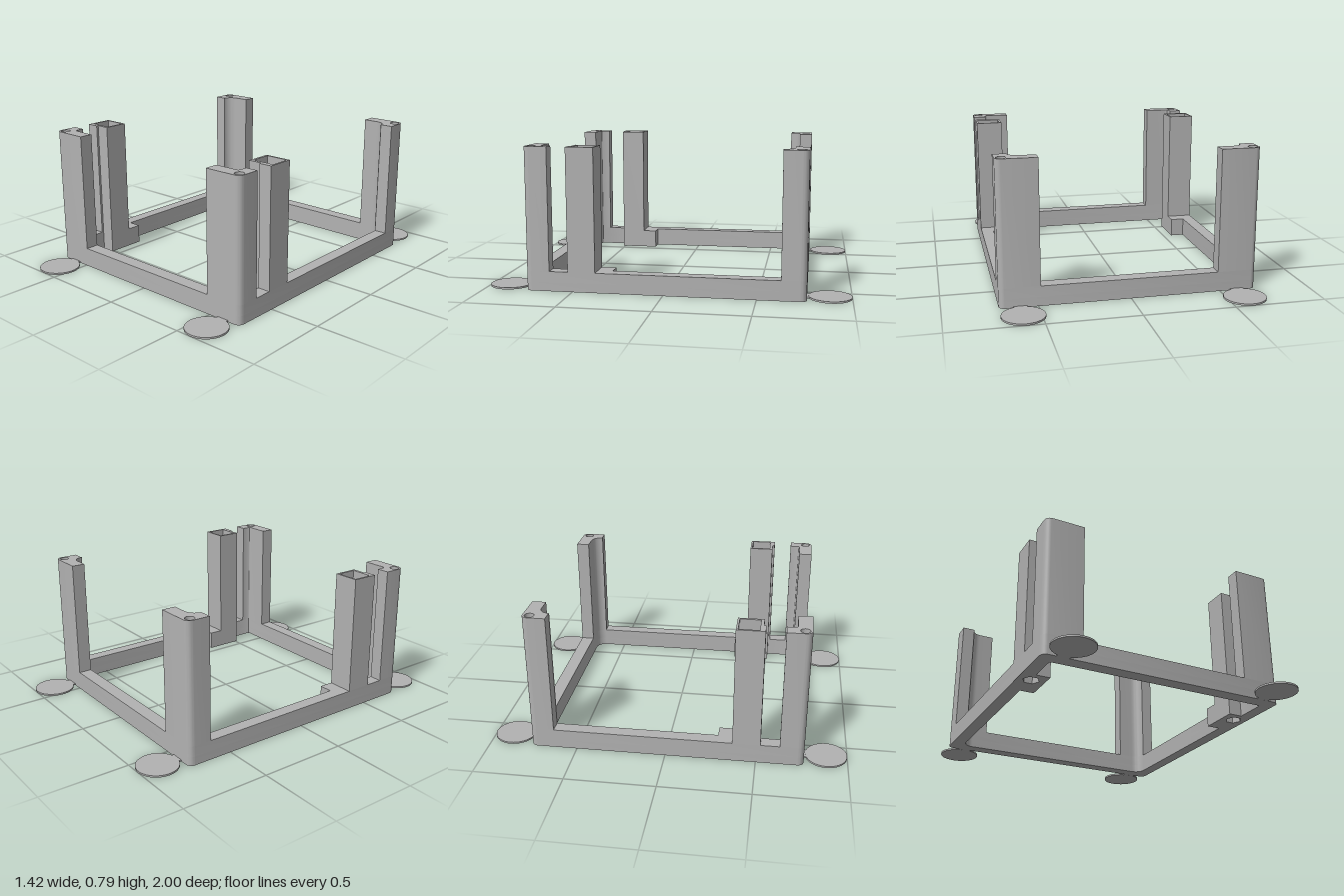
import * as THREE from 'three';
import { toCreasedNormals } from 'three/addons/utils/BufferGeometryUtils.js';

const W = 0.706, D = 0.762;      // outer half sizes
const IW = 0.633, ID = 0.685;    // inner half sizes
const RAIL = 0.11, TOP = 0.79;   // heights
const SOCKET = { x: 0.631, z: 0.438 };

// Closed path through [x, z, radius] corners, rounding those with a radius
function trace(path, pts) {
  const n = pts.length, K = 0.5523;
  pts.forEach(([x, z, r = 0], i) => {
    const toward = (p, d) => {
      const l = Math.hypot(p[0] - x, p[1] - z);
      return [x + (p[0] - x) / l * d, z + (p[1] - z) / l * d];
    };
    const prev = pts[(i + n - 1) % n], next = pts[(i + 1) % n];
    const a = toward(prev, r), b = toward(next, r);
    if (i === 0) path.moveTo(...a); else path.lineTo(...a);
    if (r) path.bezierCurveTo(...toward(prev, r * (1 - K)), ...toward(next, r * (1 - K)), ...b);
  });
  path.closePath();
  return path;
}

function circle(x, z, r) {
  return new THREE.Path().absarc(x, z, r, 0, Math.PI * 2);
}

function rect(x0, z0, x1, z1) {
  return trace(new THREE.Path(), [[x0, z0], [x1, z0], [x1, z1], [x0, z1]]);
}

// Extrude a plan (x, z) upward from y0 to y1
function extrudePlan(pts, holes, y0, y1) {
  const shape = trace(new THREE.Shape(), pts);
  shape.holes.push(...holes);
  const geo = new THREE.ExtrudeGeometry(shape, { depth: y1 - y0, bevelEnabled: false, curveSegments: 10 });
  geo.rotateX(Math.PI / 2).translate(0, y1, 0);
  return toCreasedNormals(geo, 0.6);
}

export function createModel() {
  const group = new THREE.Group();
  const grey = new THREE.MeshStandardMaterial({ color: 0xb2b2b2 });
  grey.name = 'grey plastic';
  const add = (name, geo) => {
    const mesh = new THREE.Mesh(geo, grey);
    mesh.name = name;
    group.add(mesh);
  };

  // Base frame, with pads on its inside below the sockets
  const outer = [[-W, -D, 0.035], [W, -D, 0.035], [W, D, 0.035], [-W, D, 0.035]];
  const side = s => [[s * IW, -ID, 0.06], [s * IW, 0.288], [s * 0.554, 0.288],
    [s * 0.554, 0.512], [s * IW, 0.512], [s * IW, ID, 0.015]];
  const opening = () => trace(new THREE.Path(), [...side(1), ...side(-1).reverse()]);
  const hexHole = s => {
    const pts = [];
    for (let i = 0; i < 6; i++) {
      const a = i * Math.PI / 3;
      pts.push([s * SOCKET.x + 0.045 * Math.cos(a), SOCKET.z + 0.045 * Math.sin(a)]);
    }
    return trace(new THREE.Path(), pts);
  };
  const boltHole = s => circle(s * SOCKET.x, SOCKET.z, 0.028);
  add('frameLower', extrudePlan(outer, [opening(), hexHole(1), hexHole(-1)], 0, 0.05));
  add('frameUpper', extrudePlan(outer, [opening(), boltHole(1), boltHole(-1)], 0.05, RAIL));

  for (const s of [1, -1]) {
    const sideName = s > 0 ? 'Left' : 'Right';

    // Hollow square socket tower
    const tower = [[s * W, 0.371], [s * 0.554, 0.371], [s * 0.554, 0.512],
      [s * IW, 0.512], [s * IW, 0.524], [s * W, 0.524]];
    add('socketTower' + sideName,
      extrudePlan(tower, [rect(s * 0.568, 0.382, s * 0.694, 0.494)], RAIL, TOP));

    for (const f of [1, -1]) {
      const name = (f > 0 ? 'front' : 'back') + sideName;

      // L-shaped corner post with a screw hole
      const post = [[s * W, f * D, 0.035], [s * 0.486, f * D], [s * 0.486, f * ID],
        [s * IW, f * ID, f > 0 ? 0.015 : 0.06], [s * IW, f * 0.628], [s * W, f * 0.628]];
      add(name + 'Post', extrudePlan(post, [circle(s * 0.671, f * 0.723, 0.026)], RAIL, TOP));

      // Thin round foot pad joined to the frame by a short neck
      const pad = new THREE.CylinderGeometry(0.115, 0.115, 0.01, 48);
      add(name + 'FootPad', pad.translate(s * 0.595, 0.005, f * 0.885));
      const neck = new THREE.BoxGeometry(0.07, 0.009, 0.04);
      add(name + 'FootNeck', neck.translate(s * 0.595, 0.0046, f * 0.775));
    }
  }
  return group;
}
